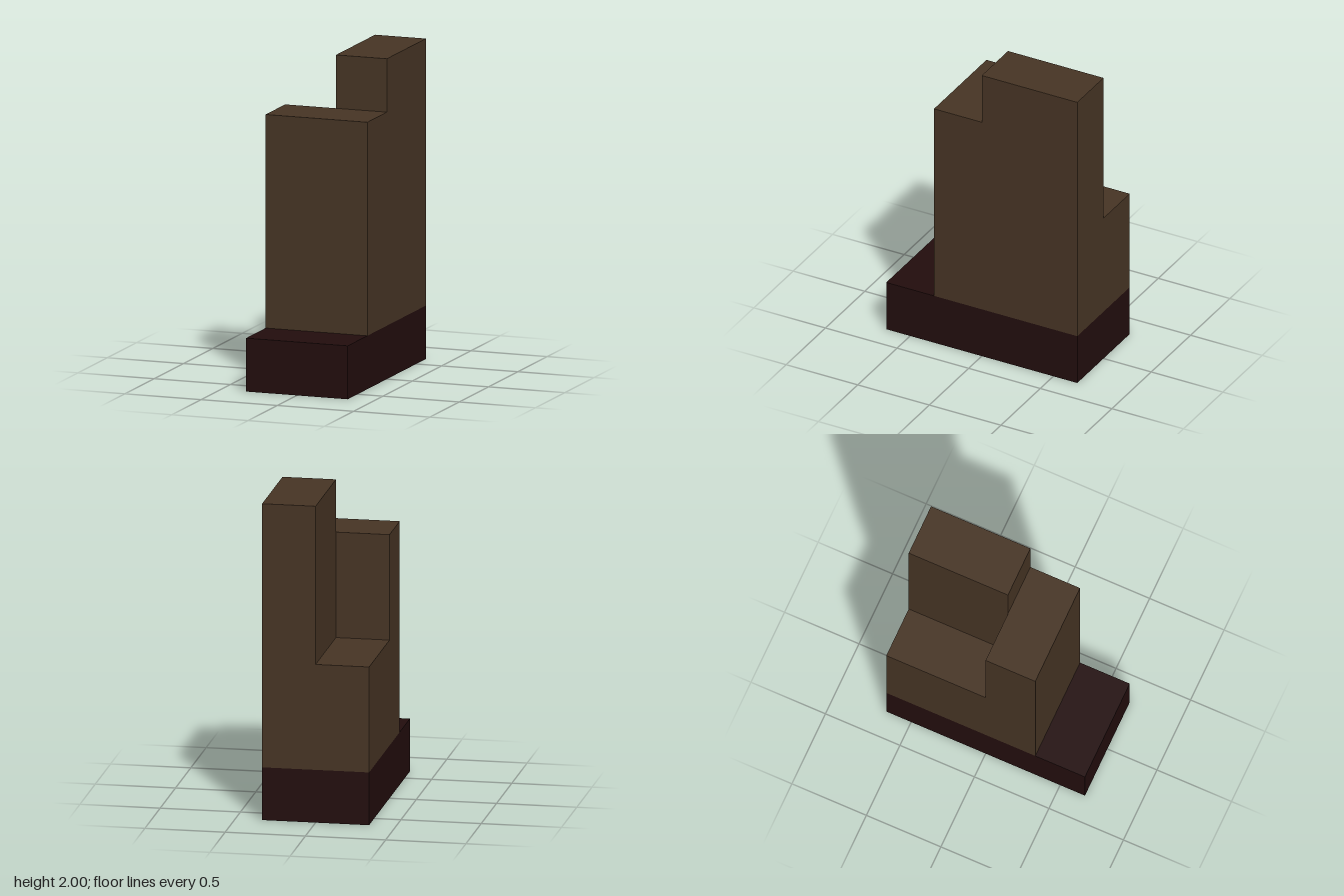
import * as THREE from 'three';

const U = 1 / 3; // grid unit: every part is a whole number of units

const wood = new THREE.MeshStandardMaterial({ color: 0x463424 });
wood.name = 'brown';
const dark = new THREE.MeshStandardMaterial({ color: 0x220d0d });
dark.name = 'dark maroon';

// Box spanning two opposite corners given in grid units
function block(name, material, [x0, y0, z0], [x1, y1, z1]) {
  const geometry = new THREE.BoxGeometry((x1 - x0) * U, (y1 - y0) * U, (z1 - z0) * U);
  const mesh = new THREE.Mesh(geometry, material);
  mesh.position.set((x0 + x1) / 2 * U, (y0 + y1) / 2 * U, (z0 + z1) / 2 * U);
  mesh.name = name;
  return mesh;
}

export function createModel() {
  const model = new THREE.Group();
  model.name = 'steppedTower';
  model.add(
    // Low plinth with a step at the front
    block('base', dark, [-1, 0, -2], [1, 1, 2]),
    // Full-width front slab
    block('frontBlock', wood, [-1, 1, 0], [1, 5, 1]),
    // Tallest column, rear on the +x side
    block('tallColumn', wood, [0, 1, -2], [1, 6, 0]),
    // Low ledge, rear on the -x side
    block('rearLedge', wood, [-1, 1, -2], [0, 3, 0]),
  );
  return model;
}
